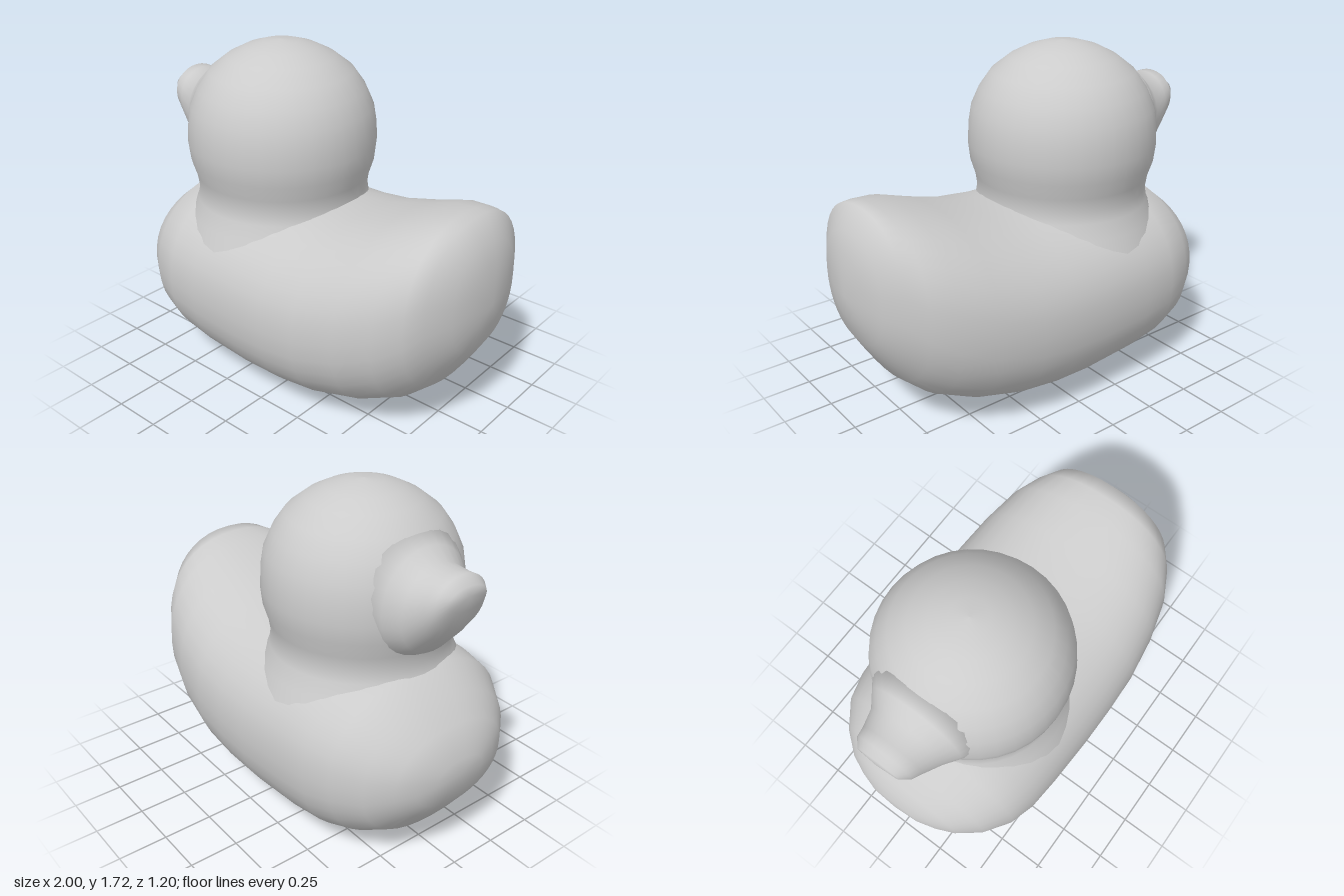
import * as THREE from 'three';

const material = new THREE.MeshStandardMaterial({ color: 0xcccccc });

// Closed loft along +x. Each station is [x, yBottom, yTop, halfWidth];
// the first and last stations collapse to a point.
function loft(stations, exponent, sides) {
  const pos = [], index = [];
  const rings = stations.slice(1, -1);
  const power = (v) => Math.sign(v) * Math.pow(Math.abs(v), 2 / exponent);
  for (const [x, y0, y1, w] of rings) {
    for (let j = 0; j < sides; j++) {
      const a = (j / sides) * Math.PI * 2;
      pos.push(x, (y0 + y1) / 2 + ((y1 - y0) / 2) * power(Math.cos(a)), w * power(Math.sin(a)));
    }
  }
  const first = rings.length * sides, last = first + 1;
  for (const s of [stations[0], stations[stations.length - 1]]) pos.push(s[0], (s[1] + s[2]) / 2, 0);
  for (let j = 0; j < sides; j++) {
    const k = (j + 1) % sides;
    for (let i = 0; i < rings.length - 1; i++) {
      const a = i * sides + j, b = i * sides + k;
      index.push(a, b, a + sides, b, b + sides, a + sides);
    }
    const end = (rings.length - 1) * sides;
    index.push(first, k, j, last, end + j, end + k);
  }
  const geometry = new THREE.BufferGeometry();
  geometry.setAttribute('position', new THREE.Float32BufferAttribute(pos, 3));
  geometry.setIndex(index);
  geometry.computeVertexNormals();
  return geometry;
}

export function createModel() {
  const group = new THREE.Group();
  const add = (name, geometry) => {
    const mesh = new THREE.Mesh(geometry, material);
    mesh.name = name;
    group.add(mesh);
    return mesh;
  };

  // Plump body, from the breast to the raised tail
  add('body', loft([
    [-1, 0.53, 0.53, 0],
    [-0.99, 0.45, 0.6, 0.14],
    [-0.96, 0.36, 0.68, 0.24],
    [-0.92, 0.3, 0.74, 0.33],
    [-0.83, 0.18, 0.84, 0.44],
    [-0.7, 0.1, 0.94, 0.53],
    [-0.56, 0.05, 0.96, 0.57],
    [-0.38, 0.02, 0.97, 0.585],
    [-0.1, 0.005, 0.97, 0.598],
    [0.1, 0.01, 0.97, 0.6],
    [0.3, 0.033, 0.99, 0.595],
    [0.52, 0.085, 1.05, 0.565],
    [0.7, 0.165, 1.11, 0.515],
    [0.82, 0.27, 1.125, 0.445],
    [0.89, 0.38, 1.13, 0.375],
    [0.95, 0.48, 1.02, 0.26],
    [0.985, 0.6, 0.93, 0.14],
    [1, 0.72, 0.72, 0],
  ], 2.25, 40));

  // Round head with a neck that flares into the body
  const profile = [
    [0.52, 0.74], [0.48, 0.84], [0.445, 0.92], [0.435, 0.98], [0.445, 1.05],
    [0.47, 1.13], [0.48, 1.22], [0.475, 1.31], [0.46, 1.4], [0.42, 1.49],
    [0.36, 1.575], [0.27, 1.645], [0.18, 1.69], [0.09, 1.717], [0, 1.725],
  ].map(([r, y]) => new THREE.Vector2(r, y));
  const head = add('head', new THREE.LatheGeometry(profile, 36));
  head.position.x = -0.28;

  // Short upturned beak, widening where it meets the head
  add('beak', loft([
    [-0.96, 1.4, 1.4, 0],
    [-0.95, 1.33, 1.44, 0.11],
    [-0.91, 1.23, 1.48, 0.15],
    [-0.86, 1.16, 1.478, 0.165],
    [-0.77, 1.06, 1.48, 0.2],
    [-0.7, 1.02, 1.535, 0.25],
    [-0.6, 1.0, 1.6, 0.32],
    [-0.5, 1.3, 1.3, 0],
  ], 2.1, 28));

  return group;
}
